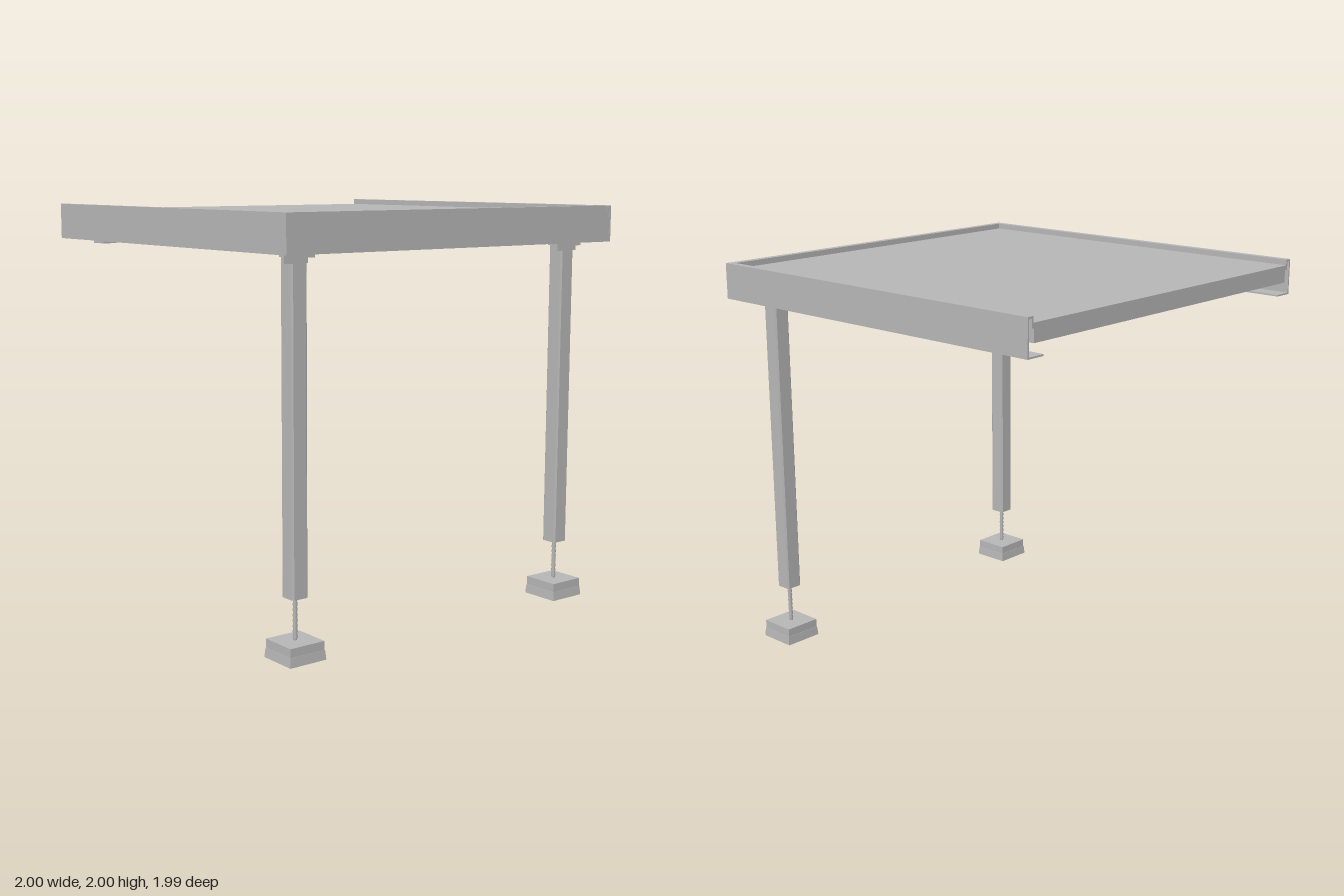
import * as THREE from 'three';

const steel = new THREE.MeshStandardMaterial({ color: 0xb6b6b6 });
steel.name = 'grey steel';

function add(parent, name, geometry, x = 0, y = 0, z = 0) {
  const mesh = new THREE.Mesh(geometry, steel);
  mesh.name = name;
  mesh.position.set(x, y, z);
  parent.add(mesh);
  return mesh;
}

// Box given by its minimum and maximum on each axis
function block(parent, name, [x0, x1], [y0, y1], [z0, z1]) {
  return add(parent, name, new THREE.BoxGeometry(x1 - x0, y1 - y0, z1 - z0),
    (x0 + x1) / 2, (y0 + y1) / 2, (z0 + z1) / 2);
}

// Square outline with small chamfered corners
function squarePath(Type, h, c) {
  const path = new Type();
  path.moveTo(-h + c, -h);
  [[h - c, -h], [h, -h + c], [h, h - c], [h - c, h], [-h + c, h], [-h, h - c], [-h, -h + c]]
    .forEach(([x, y]) => path.lineTo(x, y));
  path.closePath();
  return path;
}

// Folded channel: outer web, top lip with return, and inward bottom flange.
// Runs along x with its outer face at z = 0, inside towards -z.
function channel(name, length) {
  const shape = new THREE.Shape();
  [[0, 1.822], [0, 2], [0.035, 2], [0.035, 1.95], [0.025, 1.95], [0.025, 1.99], [0.008, 1.99],
    [0.008, 1.83], [0.1, 1.83], [0.1, 1.822]]
    .forEach(([x, y], i) => (i ? shape.lineTo(x, y) : shape.moveTo(x, y)));
  const geometry = new THREE.ExtrudeGeometry(shape, { depth: length, bevelEnabled: false });
  geometry.translate(0, 0, -length / 2);
  geometry.rotateY(Math.PI / 2);
  const mesh = new THREE.Mesh(geometry, steel);
  mesh.name = name;
  return mesh;
}

function createLeg() {
  const leg = new THREE.Group();

  // Hollow square post with a plug inside its lower end
  const section = squarePath(THREE.Shape, 0.043, 0.008);
  section.holes.push(squarePath(THREE.Path, 0.035, 0.005));
  const post = new THREE.ExtrudeGeometry(section, { depth: 1.52, bevelEnabled: false });
  post.rotateX(-Math.PI / 2);
  add(leg, 'post', post, 0, 0.285, 0);
  block(leg, 'postPlug', [-0.035, 0.035], [0.295, 0.315], [-0.035, 0.035]);

  // Threaded levelling screw
  const profile = [new THREE.Vector2(0.009, 0.08)];
  for (let i = 0; i < 8; i++) {
    const y = 0.09 + i * 0.025;
    profile.push(new THREE.Vector2(0.009, y), new THREE.Vector2(0.012, y + 0.012));
  }
  profile.push(new THREE.Vector2(0.009, 0.3));
  add(leg, 'levellingScrew', new THREE.LatheGeometry(profile, 12));

  // Two-tier foot, the lower tier slightly flared
  const base = new THREE.CylinderGeometry(0.096 * Math.SQRT2, 0.1 * Math.SQRT2, 0.045, 4, 1)
    .toNonIndexed();
  base.rotateY(Math.PI / 4);
  base.computeVertexNormals();
  add(leg, 'footBase', base, 0, 0.0225, 0);
  block(leg, 'footTop', [-0.094, 0.094], [0.045, 0.087], [-0.094, 0.094]);

  // Mounting bracket hooked over the frame flange
  block(leg, 'mountingPlate', [-0.05, 0.075], [1.803, 1.822], [-0.057, 0.043]);
  block(leg, 'hookTab', [0.055, 0.077], [1.78, 1.822], [-0.02, 0.108]);
  block(leg, 'hookPlate', [-0.04, 0.16], [1.83, 1.838], [-0.057, 0.06]);
  return leg;
}

export function createModel() {
  const model = new THREE.Group();
  model.name = 'raisedPlatform';

  // Deck panel with its two joists
  block(model, 'deckPanel', [-1, 0.967], [1.948, 1.972], [-0.967, 0.967]);
  block(model, 'middleJoist', [-0.02, 0.02], [1.87, 1.948], [-0.95, 0.95]);
  block(model, 'edgeJoist', [-0.998, -0.96], [1.885, 1.948], [-0.955, 0.955]);

  // Frame on three sides, open at the right
  const front = channel('frontRail', 2);
  front.position.z = 0.995;
  const back = channel('backRail', 2);
  back.rotation.y = Math.PI;
  back.position.z = -0.995;
  const side = channel('leftRail', 1.98);
  side.rotation.y = Math.PI / 2;
  side.position.x = 0.999;
  model.add(front, back, side);

  // Small clip under the front rail
  block(model, 'railClip', [-0.65, -0.555], [1.811, 1.822], [0.92, 0.995]);

  // Legs at the two supported corners
  [['frontLeg', 0.831], ['backLeg', -0.829]].forEach(([name, z]) => {
    const leg = createLeg();
    leg.name = name;
    leg.position.set(0.828, 0, z);
    model.add(leg);
  });

  return model;
}
